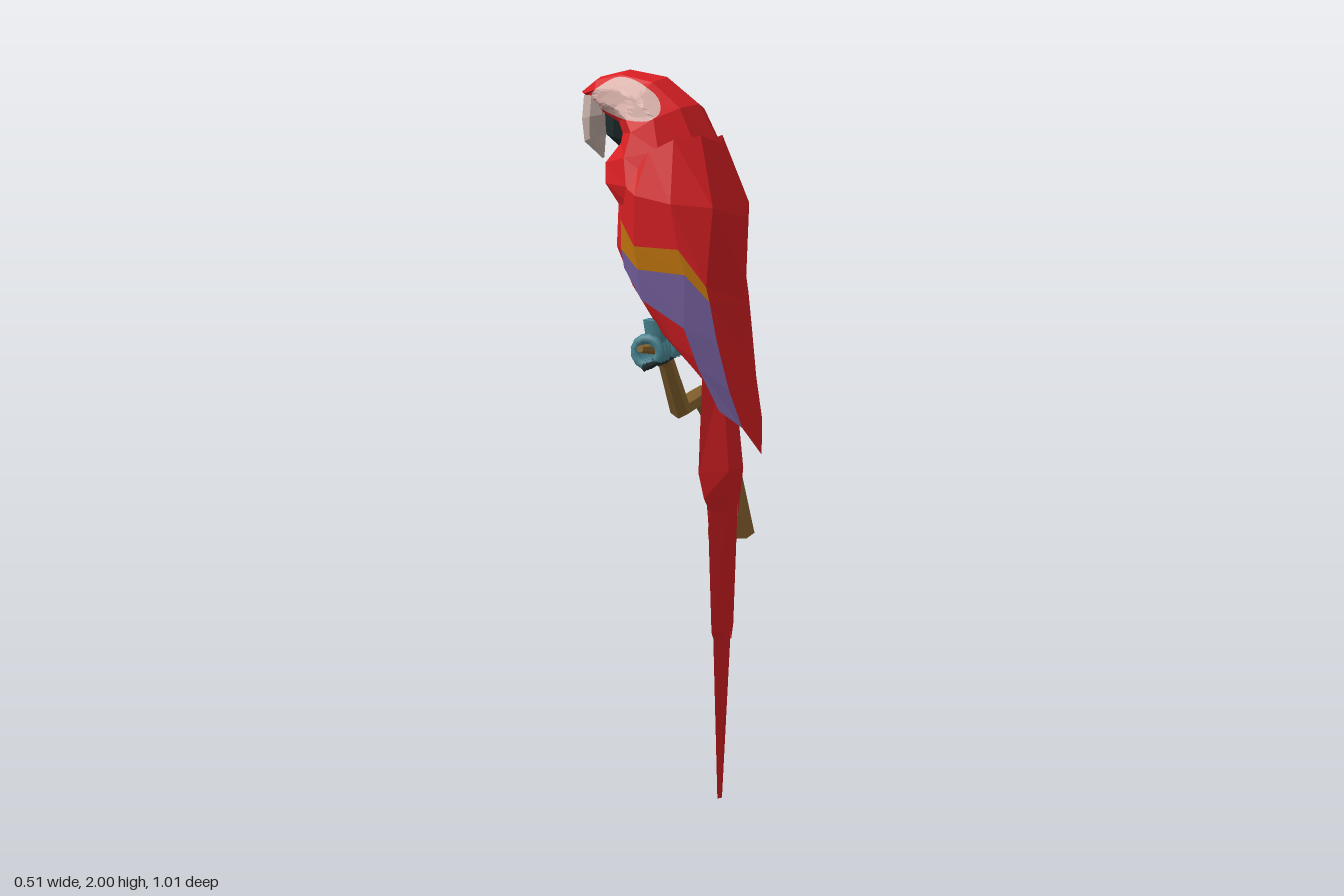
import * as THREE from 'three';

const mat = (name, color) => {
  const m = new THREE.MeshStandardMaterial({ color, side: THREE.DoubleSide });
  m.name = name;
  return m;
};

const V = (x, y, z) => new THREE.Vector3(x, y, z);

// Faceted surface through rows of points; closed rows get end caps and outward faces
function loft(rows, { closed = false, caps = closed } = {}) {
  const tris = [];
  const n = rows[0].length;
  for (let i = 0; i < rows.length - 1; i++) {
    for (let j = 0; j < (closed ? n : n - 1); j++) {
      const k = (j + 1) % n;
      const [a, b, c, d] = [rows[i][j], rows[i][k], rows[i + 1][k], rows[i + 1][j]];
      tris.push([a, b, c], [a, c, d]);
    }
  }
  if (caps) {
    const cap = (row, flip) => {
      const mid = row.reduce((s, p) => s.add(p), V(0, 0, 0)).divideScalar(n);
      row.forEach((p, j) => {
        const q = row[(j + 1) % n];
        tris.push(flip ? [mid, q, p] : [mid, p, q]);
      });
    };
    cap(rows[0], true);
    cap(rows[rows.length - 1], false);
    const volume = tris.reduce((s, [a, b, c]) => s + a.dot(b.clone().cross(c)), 0);
    if (volume < 0) tris.forEach((t) => t.reverse());
  }
  const g = new THREE.BufferGeometry().setFromPoints(tris.flat());
  g.computeVertexNormals();
  return g;
}

// Tilted oval rings: [lower x, lower y, upper x, upper y, half width]
const ovals = (sections, sides) => sections.map(([x0, y0, x1, y1, w]) =>
  Array.from({ length: sides }, (_, i) => {
    const a = (i / sides) * Math.PI * 2;
    const t = (1 - Math.cos(a)) / 2;
    return V(x0 + (x1 - x0) * t, y0 + (y1 - y0) * t, w * Math.sin(a));
  }));

export function createModel() {
  const red = mat('scarlet feathers', 0xdb2024);
  const orange = mat('orange feathers', 0xc5780f);
  const blue = mat('violet blue feathers', 0x7661a0);
  const mauve = mat('tail underside', 0xa85c66);
  const skin = mat('pale face skin', 0xdcb4ad);
  const horn = mat('pale beak', 0xc8b2aa);
  const dark = mat('dark beak and claws', 0x1d2b2c);
  const teal = mat('blue grey feet', 0x4a8794);
  const wood = mat('wood', 0x8f6a33);

  const model = new THREE.Group();
  model.name = 'parrotOnBranch';
  const bird = new THREE.Group();
  bird.name = 'parrot';
  const add = (name, geometry, material, parent = bird) => {
    const m = new THREE.Mesh(geometry, material);
    m.name = name;
    parent.add(m);
    return m;
  };

  // Head and body, from forehead to rump
  const body = add('headAndBody', loft(ovals([
    [-0.225, 1.925, -0.258, 1.945, 0.02],
    [-0.18, 1.88, -0.205, 1.982, 0.062],
    [-0.13, 1.85, -0.12, 2.0, 0.095],
    [-0.12, 1.82, -0.015, 1.98, 0.128],
    [-0.13, 1.8, 0.075, 1.91, 0.15],
    [-0.18, 1.755, 0.13, 1.81, 0.165],
    [-0.18, 1.71, 0.17, 1.685, 0.185],
    [-0.14, 1.66, 0.18, 1.605, 0.185],
    [-0.152, 1.55, 0.175, 1.48, 0.165],
    [-0.11, 1.45, 0.17, 1.36, 0.143],
    [-0.03, 1.325, 0.17, 1.22, 0.105],
    [0.115, 1.19, 0.17, 1.12, 0.06],
  ], 10), { closed: true }), red);

  // Bare face patches, laid onto the sides of the head
  const outline = new THREE.CatmullRomCurve3([
    [-0.215, 1.925], [-0.175, 1.96], [-0.125, 1.98], [-0.06, 1.965], [0, 1.925],
    [0.015, 1.885], [-0.005, 1.868], [-0.1, 1.873], [-0.175, 1.895],
  ].map(([x, y]) => V(x, y, 0)), true).getPoints(40);
  const centre = V(-0.09, 1.92, 0);
  const ray = new THREE.Raycaster();
  for (const s of [1, -1]) {
    const rows = [1, 0.8, 0.6, 0.4, 0.2, 0].map((k) => outline.map((p) => {
      const q = centre.clone().lerp(p, k);
      ray.set(V(q.x, q.y, s), V(0, 0, -s));
      const hit = ray.intersectObject(body)[0];
      q.z = (hit ? hit.point.z : 0) + s * 0.005;
      return q;
    }));
    add(s > 0 ? 'facePatchA' : 'facePatchB', loft(rows), skin);
  }

  // Hooked upper beak and dark lower beak
  add('upperBeak', loft(ovals([
    [-0.25, 1.935, -0.17, 1.93, 0.05],
    [-0.257, 1.87, -0.175, 1.885, 0.05],
    [-0.252, 1.81, -0.195, 1.83, 0.035],
    [-0.202, 1.768, -0.198, 1.775, 0.005],
  ], 8), { closed: true }), horn);
  add('lowerBeak', loft(ovals([
    [-0.195, 1.89, -0.11, 1.87, 0.035],
    [-0.19, 1.835, -0.125, 1.815, 0.032],
    [-0.155, 1.803, -0.13, 1.8, 0.012],
  ], 8), { closed: true }), dark);

  // Folded wings: rows run from the front edge to the middle of the back
  const wingRows = [
    [[-0.03, 1.75, 0.165], [0, 1.79, 0.165], [0.06, 1.82, 0.145], [0.11, 1.83, 0.08], [0.135, 1.81, 0]],
    [[-0.06, 1.7, 0.175], [-0.03, 1.68, 0.188], [0.07, 1.66, 0.193], [0.165, 1.65, 0.14], [0.203, 1.62, 0]],
    [[-0.085, 1.615, 0.152], [-0.04, 1.55, 0.172], [0.085, 1.545, 0.18], [0.152, 1.45, 0.155], [0.203, 1.45, 0]],
    [[-0.09, 1.54, 0.14], [-0.035, 1.49, 0.163], [0.1, 1.48, 0.172], [0.16, 1.41, 0.15], [0.2, 1.4, 0]],
    [[-0.085, 1.49, 0.133], [-0.03, 1.41, 0.15], [0.09, 1.34, 0.153], [0.175, 1.31, 0.138], [0.205, 1.26, 0]],
  ];
  const tipRows = [
    wingRows[4].slice(2),
    [[0.12, 1.235, 0.13], [0.198, 1.18, 0.11], [0.228, 1.13, 0]],
    [[0.17, 1.12, 0.105], [0.225, 1.075, 0.08], [0.252, 0.99, 0]],
  ];
  for (const s of [1, -1]) {
    const wing = new THREE.Group();
    wing.name = s > 0 ? 'wingA' : 'wingB';
    bird.add(wing);
    const panel = (name, rows, c0, c1, m) => add(name, loft(rows.map((r) =>
      r.slice(c0, c1).map(([x, y, w]) => V(x, y, s * w)))), m, wing);
    panel('shoulder', wingRows.slice(0, 3), 0, 4, red);
    panel('orangeBand', wingRows.slice(2, 4), 0, 4, orange);
    panel('blueBand', wingRows.slice(3, 5), 0, 4, blue);
    panel('back', wingRows, 3, 5, red);
    panel('blueFlight', tipRows, 0, 2, blue);
    panel('backTip', tipRows, 1, 3, red);
  }

  // Long tail in three overlapping layers: [y, edge x, ridge x, half width]
  const layers = [
    [[1.22, 0.115, 0.17, 0.085], [0.95, 0.112, 0.2, 0.107], [0.88, 0.125, 0.192, 0.1], [0.81, 0.14, 0.186, 0.062]],
    [[0.95, 0.12, 0.188, 0.09], [0.82, 0.13, 0.182, 0.082], [0.5, 0.133, 0.17, 0.065], [0.46, 0.136, 0.166, 0.044]],
    [[0.6, 0.13, 0.168, 0.054], [0.46, 0.132, 0.163, 0.047], [0, 0.131, 0.14, 0.013]],
  ];
  layers.forEach((layer, i) => {
    const last = layer.length - 1;
    const rows = layer.map(([y, xe, xr, w], j) => [-1, -0.5, 0, 0.5, 1].map((t) => {
      const notch = j === last && i < 2 && t === 0 ? 0.04 : 0; // jagged feather ends
      return V(xr - (xr - xe) * t * t, y + notch, w * t);
    }));
    add(`tailLayer${i + 1}`, loft(rows), red);
    add(`tailUnderside${i + 1}`, loft(rows.map((r) => [r[0], r[4]])), mauve);
  });

  // Feet: toes curled round the branch, each with a claw
  for (const s of [1, -1]) {
    const foot = new THREE.Group();
    foot.name = s > 0 ? 'footA' : 'footB';
    foot.position.set(-0.045, 1.262, s * 0.05);
    bird.add(foot);
    for (const dz of [-0.024, 0, 0.024]) {
      const toe = add('toe', new THREE.TorusGeometry(0.036, 0.014, 6, 10, Math.PI * 1.6), teal, foot);
      toe.position.z = dz;
      toe.rotation.z = -0.6;
      const claw = add('claw', new THREE.ConeGeometry(0.011, 0.045, 5), dark, foot);
      claw.position.set(0.008, -0.036, dz);
      claw.rotation.z = -1.2;
    }
    const leg = add('leg', new THREE.CylinderGeometry(0.035, 0.025, 0.07, 6), teal, foot);
    leg.position.set(0.015, 0.05, 0);
  }
  bird.position.z = 0.317;
  model.add(bird);

  // Crooked branch, flaring to a flat foot: [x, y, z, radius, downward angle]
  const branch = [
    [-0.05, 1.275, 0.43, 0.01, 5], [-0.045, 1.262, 0.317, 0.018, 15],
    [-0.07, 1.21, 0.2, 0.023, 38], [-0.085, 1.052, 0.06, 0.031, 20],
    [-0.083, 1.065, -0.1, 0.03, 15], [-0.085, 0.91, -0.3, 0.032, 52],
    [-0.103, 0.56, -0.428, 0.076, 90],
  ].map(([x, y, z, r, deg]) => Array.from({ length: 6 }, (_, i) => {
    const a = (i / 6) * Math.PI * 2 + Math.PI / 6;
    const k = THREE.MathUtils.degToRad(deg);
    const v = r * Math.sin(a);
    return V(x + r * Math.cos(a), y + v * Math.cos(k), z - v * Math.sin(k));
  }));
  add('branch', loft(branch, { closed: true }), wood, model);
  return model;
}
